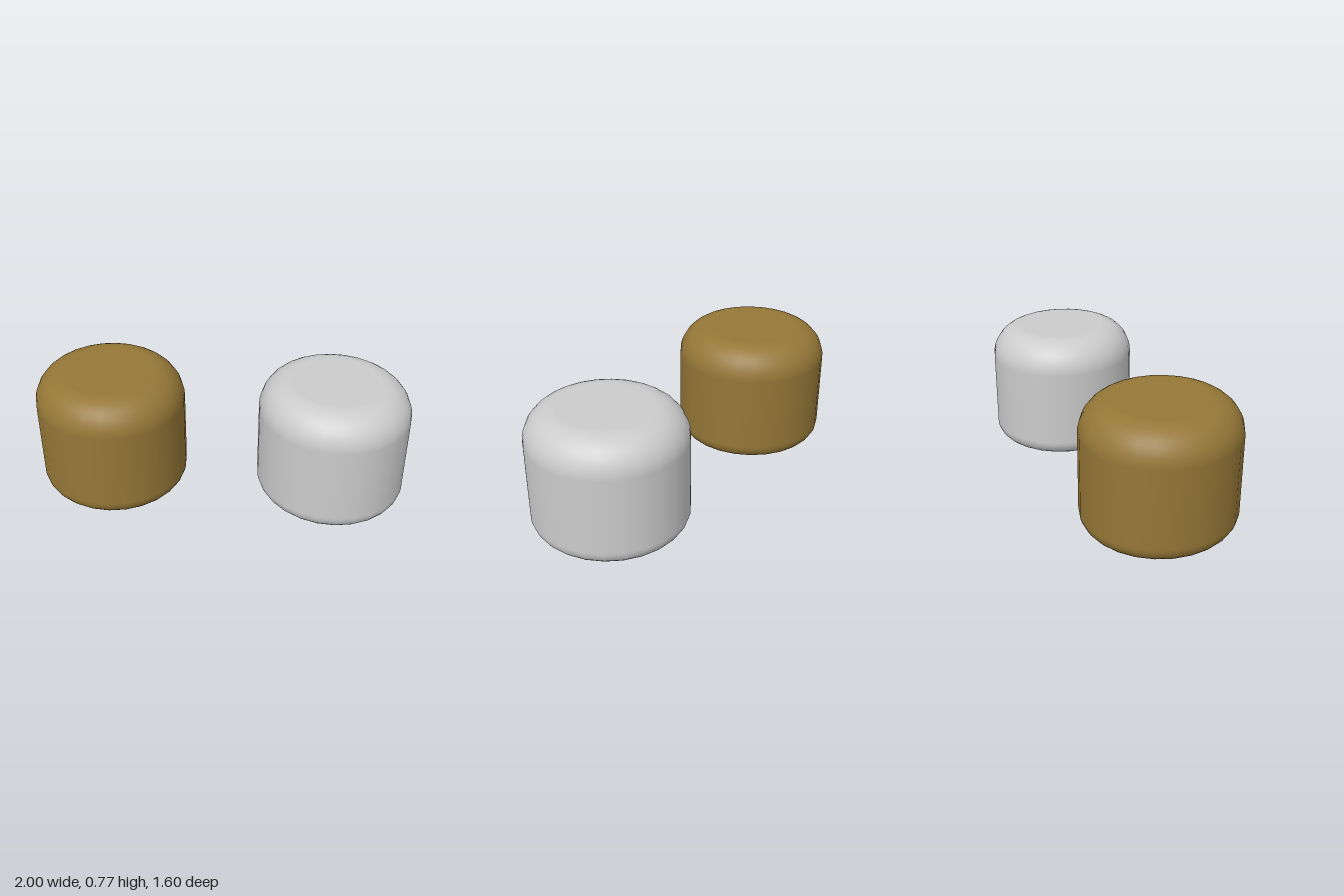
import * as THREE from 'three';

const SIDES = 26;
const RADIUS = 0.455;
const SQUASH = 0.963; // slightly narrower across x

// Quarter-round corner of the profile, from angle a0 to a1
function corner(cx, cy, r, a0, a1, steps) {
  const pts = [];
  for (let i = 0; i <= steps; i++) {
    const a = a0 + ((a1 - a0) * i) / steps;
    pts.push(new THREE.Vector2(cx + r * Math.cos(a), cy + r * Math.sin(a)));
  }
  return pts;
}

function createPot(name, color) {
  const pot = new THREE.Group();
  pot.name = name;
  const material = new THREE.MeshStandardMaterial({ color });

  // Body: flat base, small lower rounding, straight wall, large upper rounding
  const low = 0.097, high = 0.19, base = 0.019, top = 0.762;
  const profile = [
    new THREE.Vector2(0, base),
    ...corner(RADIUS - low, base + low, low, -Math.PI / 2, 0, 7),
    ...corner(RADIUS - high, top - high, high, 0, Math.PI / 2, 10),
    new THREE.Vector2(0, top),
  ];
  const bodyGeometry = new THREE.LatheGeometry(profile, SIDES);
  bodyGeometry.scale(SQUASH, 1, 1);
  const body = new THREE.Mesh(bodyGeometry, material);
  body.name = 'body';
  pot.add(body);

  // Thin foot disc, flared towards the bottom
  const footGeometry = new THREE.CylinderGeometry(0.338, 0.352, 0.018, SIDES);
  footGeometry.scale(SQUASH, 1, 1);
  const foot = new THREE.Mesh(footGeometry, material);
  foot.name = 'foot';
  foot.position.y = 0.012;
  pot.add(foot);

  return pot;
}

export function createModel() {
  const model = new THREE.Group();
  model.name = 'roundedPots';

  const grey = createPot('greyPot', 0xcccccc);
  grey.position.set(0.565, 0, 0.343);

  const brown = createPot('brownPot', 0x957737);
  brown.position.set(-0.565, 0.008, -0.345);

  model.add(grey, brown);
  return model;
}
